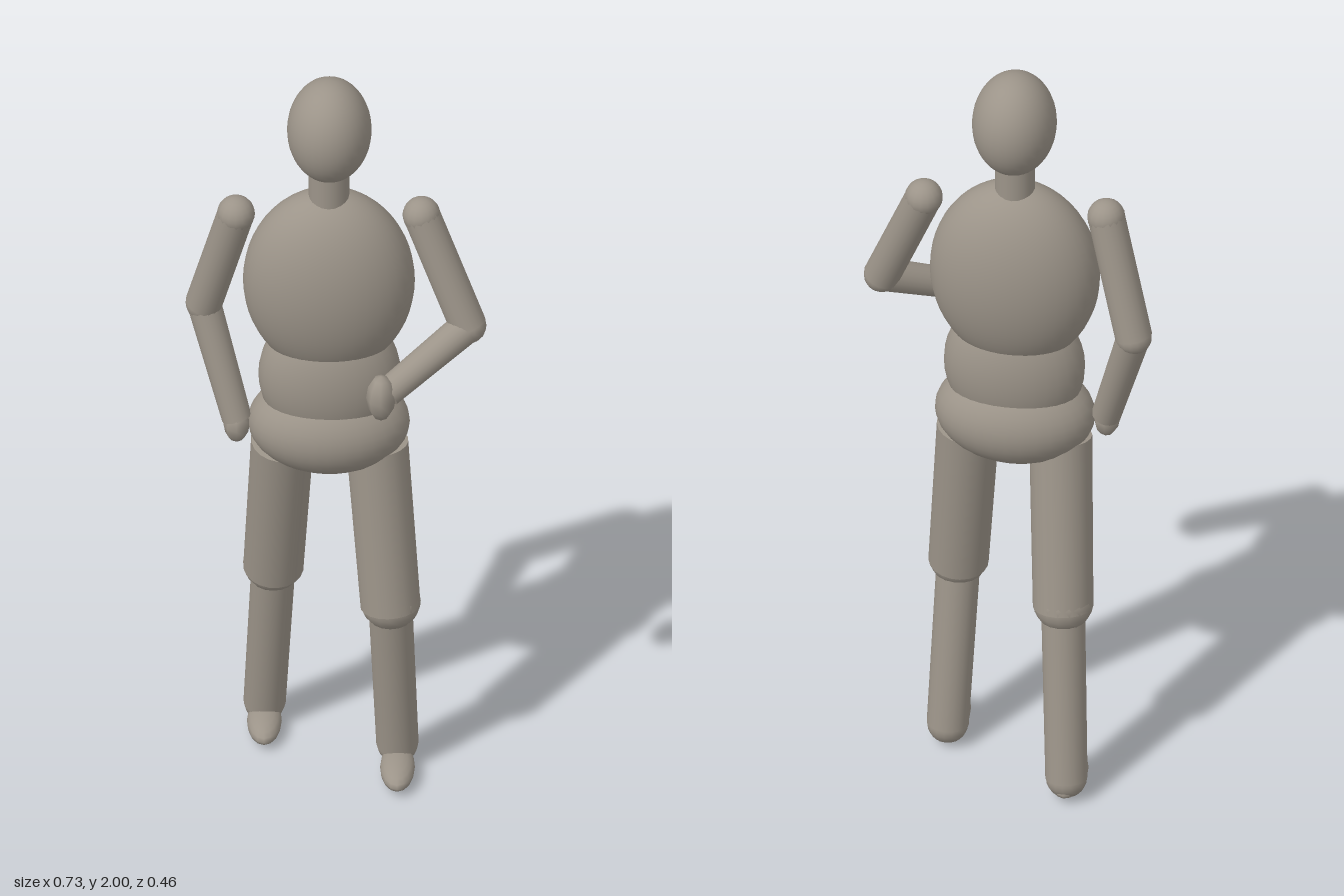
import * as THREE from 'three';

export function createModel() {
  const root = new THREE.Group();
  root.name = 'posableFigure';
  const body = new THREE.MeshStandardMaterial({ color: 0x9c9489 });
  body.name = 'warm grey';

  const V = (p) => new THREE.Vector3(...p);
  const add = (name, geometry, parent) => {
    const mesh = new THREE.Mesh(geometry, body);
    mesh.name = name;
    parent.add(mesh);
    return mesh;
  };
  // Ellipsoid from a centre and three radii
  const ball = (name, centre, radii, parent = root, w = 32, h = 20) => {
    const mesh = add(name, new THREE.SphereGeometry(1, w, h), parent);
    mesh.position.set(...centre);
    mesh.scale.set(...radii);
    return mesh;
  };
  // Tapered cylinder between two points
  const limb = (name, from, to, rFrom, rTo, parent = root) => {
    const a = V(from), b = V(to), axis = b.clone().sub(a);
    const mesh = add(name, new THREE.CylinderGeometry(rTo, rFrom, axis.length(), 20), parent);
    mesh.position.copy(a).add(b).multiplyScalar(0.5);
    mesh.quaternion.setFromUnitVectors(new THREE.Vector3(0, 1, 0), axis.normalize());
    return mesh;
  };

  // Head and torso
  ball('head', [-0.017, 1.865, -0.012], [0.102, 0.135, 0.115]);
  limb('neck', [-0.018, 1.62, -0.01], [-0.018, 1.78, -0.01], 0.049, 0.049);
  ball('chest', [-0.018, 1.425, -0.01], [0.207, 0.257, 0.137], root, 40, 28);
  ball('waist', [-0.016, 1.15, -0.006], [0.172, 0.19, 0.114]);
  ball('pelvis', [-0.018, 1.01, -0.008], [0.195, 0.127, 0.138]);

  // Arms: the right one hangs at the side, the left one bends across the front
  const arms = [
    { name: 'rightArm', shoulder: [-0.242, 1.615, -0.012], elbow: [-0.32, 1.31, -0.07],
      wrist: [-0.24, 1.02, 0.0], hand: [-0.24, 1.005, 0.005], size: [0.032, 0.046, 0.036] },
    { name: 'leftArm', shoulder: [0.205, 1.615, -0.012], elbow: [0.318, 1.33, 0.045],
      wrist: [0.125, 1.225, 0.18], hand: [0.11, 1.22, 0.193], size: [0.036, 0.062, 0.04] },
  ];
  for (const a of arms) {
    const g = new THREE.Group();
    g.name = a.name;
    root.add(g);
    ball('shoulder', a.shoulder, [0.046, 0.046, 0.046], g, 16, 12);
    limb('upperArm', a.shoulder, a.elbow, 0.045, 0.045, g);
    ball('elbow', a.elbow, [0.044, 0.044, 0.044], g, 16, 12);
    limb('forearm', a.elbow, a.wrist, 0.041, 0.036, g);
    ball('hand', a.hand, a.size, g, 8, 6);
  }

  // Legs: the right one trails behind, the left one leads
  const legs = [
    { name: 'rightLeg', hip: [-0.13, 0.95, -0.01], knee: [-0.153, 0.51, -0.102],
      ankle: [-0.175, 0.058, -0.177], foot: [-0.175, 0.034, -0.13] },
    { name: 'leftLeg', hip: [0.098, 0.95, -0.002], knee: [0.131, 0.505, 0.048],
      ankle: [0.147, 0.058, -0.008], foot: [0.148, 0.034, 0.06] },
  ];
  for (const l of legs) {
    const g = new THREE.Group();
    g.name = l.name;
    root.add(g);
    limb('thigh', l.hip, l.knee, 0.076, 0.073, g);
    ball('knee', [l.knee[0], l.knee[1] + 0.012, l.knee[2]], [0.073, 0.07, 0.071], g, 16, 12);
    limb('shin', l.knee, l.ankle, 0.053, 0.051, g);
    ball('ankle', l.ankle, [0.05, 0.05, 0.05], g, 16, 12);
    ball('foot', l.foot, [0.042, 0.03, 0.095], g, 16, 10);
  }

  return root;
}
